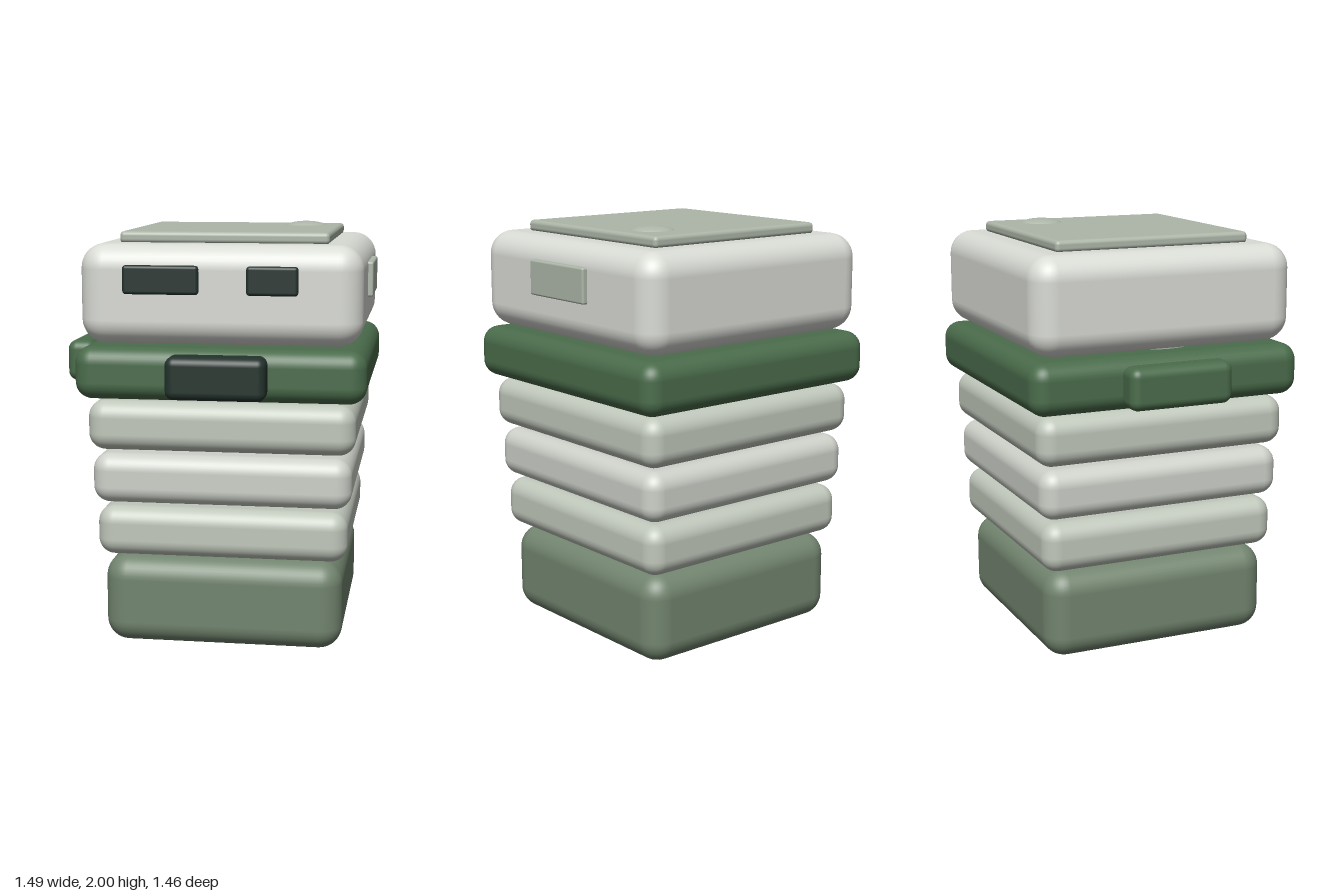
import * as THREE from 'three';
import { RoundedBoxGeometry } from 'three/addons/geometries/RoundedBoxGeometry.js';

const mat = (color) => new THREE.MeshStandardMaterial({ color });
const shell = mat(0xd9dbd5), ringA = mat(0xc0c7bb), ringB = mat(0xcdd1c9), sage = mat(0x72856f);
const green = mat(0x4a6c4b), dark = mat(0x24332d), pale = mat(0xadb6a8);

export function createModel() {
  const model = new THREE.Group();

  const add = (name, geometry, material, x, y, z) => {
    const mesh = new THREE.Mesh(geometry, material);
    mesh.name = name;
    mesh.position.set(x, y, z);
    model.add(mesh);
    return mesh;
  };

  // Rounded box given by its limits on each axis
  const block = (name, material, [x0, x1], [y0, y1], [z0, z1], radius) =>
    add(name, new RoundedBoxGeometry(x1 - x0, y1 - y0, z1 - z0, 5, radius), material,
      (x0 + x1) / 2, (y0 + y1) / 2, (z0 + z1) / 2);

  // Stacked body: square blocks sharing one vertical axis
  const cx = 0.064, cz = -0.049;
  const stack = [
    ['base', sage, 0.572, 0, 0.43, 0.11],
    ['lowerRing', ringA, 0.597, 0.443, 0.682, 0.08],
    ['middleRing', ringB, 0.614, 0.702, 0.941, 0.08],
    ['upperRing', ringA, 0.63, 0.96, 1.197, 0.08],
    ['collar', green, 0.679, 1.21, 1.457, 0.08],
    ['head', shell, 0.655, 1.466, 1.93, 0.115],
  ];
  for (const [name, material, h, y0, y1, radius] of stack) {
    block(name, material, [cx - h, cx + h], [y0, y1], [cz - h, cz + h], radius);
  }

  // Inner connectors glimpsed through the gaps
  add('neck', new THREE.CylinderGeometry(0.25, 0.25, 0.12, 40), pale, -0.22, 1.46, 0);
  add('core', new THREE.CylinderGeometry(0.232, 0.232, 0.4, 40), pale, 0.312, 1.08, -0.088);
  const rod = add('innerRod', new THREE.CylinderGeometry(0.02, 0.02, 0.1, 12), pale, 0.25, 0.692, 0.11);
  rod.quaternion.setFromUnitVectors(new THREE.Vector3(0, 1, 0), new THREE.Vector3(1, 1, -1).normalize());

  // Lid with a round button
  block('lid', pale, [-0.425, 0.555], [1.925, 1.98], [-0.54, 0.435], 0.02);
  const button = add('button',
    new THREE.SphereGeometry(0.105, 40, 12, 0, Math.PI * 2, 0, Math.PI / 2), pale, 0.38, 1.972, -0.303);
  button.scale.y = 0.028 / 0.105;

  // Eyes of different widths
  block('rightEye', dark, [-0.375, -0.025], [1.705, 1.837], [0.57, 0.63], 0.015);
  block('leftEye', dark, [0.195, 0.43], [1.705, 1.837], [0.57, 0.63], 0.015);

  // Side fittings
  block('sidePanel', pale, [0.68, 0.744], [1.664, 1.83], [-0.258, 0.156], 0.01);
  block('buckle', dark, [-0.167, 0.295], [1.233, 1.432], [0.55, 0.728], 0.04);
  block('sideGrip', green, [-0.747, -0.61], [1.233, 1.432], [-0.308, 0.205], 0.045);

  return model;
}
